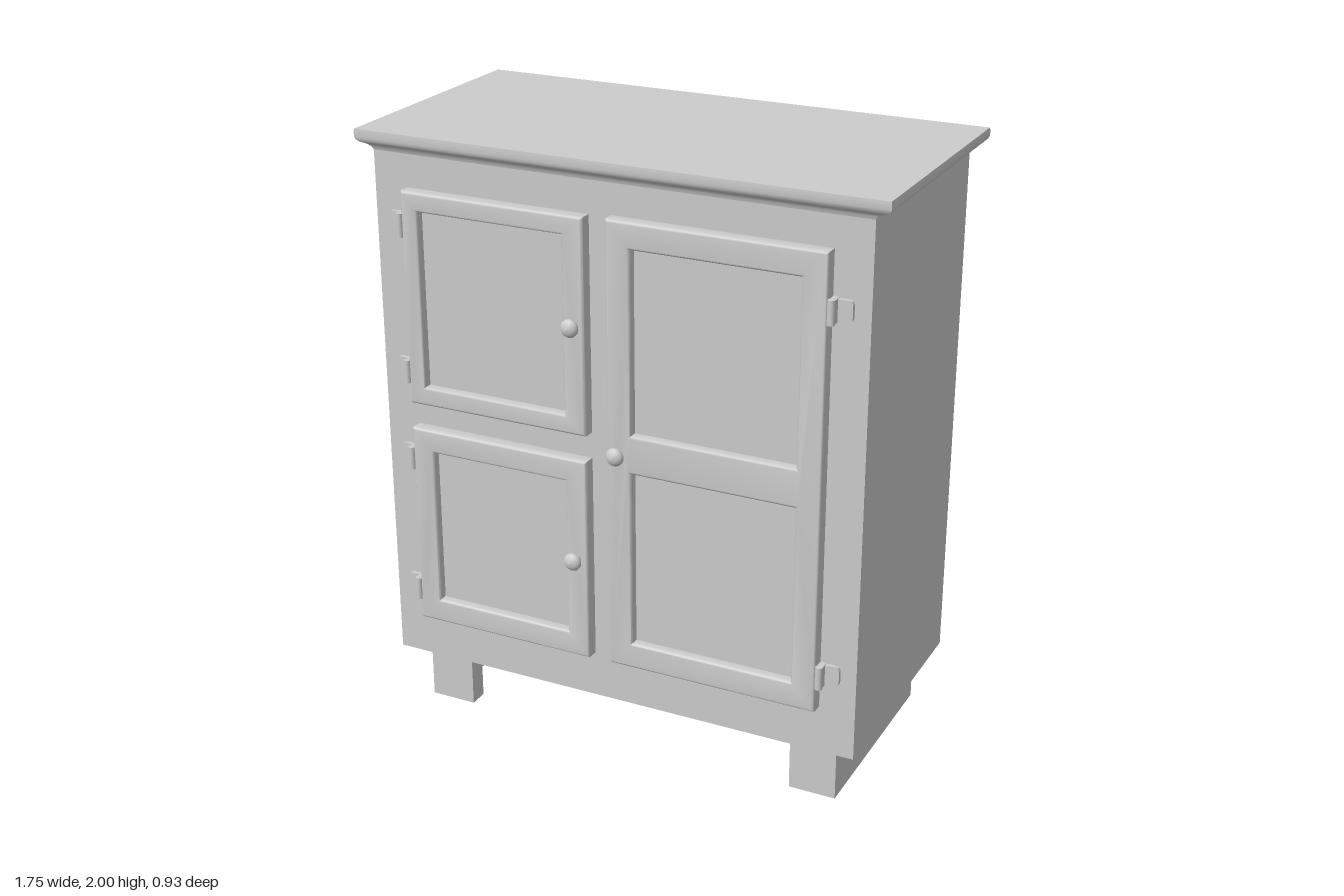
import * as THREE from 'three';
import { toCreasedNormals } from 'three/addons/utils/BufferGeometryUtils.js';

const mat = new THREE.MeshStandardMaterial({ color: 0xcccccc });

function add(parent, name, geo, x = 0, y = 0, z = 0) {
  const m = new THREE.Mesh(geo, mat);
  m.name = name;
  m.position.set(x, y, z);
  parent.add(m);
  return m;
}

// Box given by its limits
function box(parent, name, x0, x1, y0, y1, z0, z1) {
  return add(parent, name, new THREE.BoxGeometry(x1 - x0, y1 - y0, z1 - z0),
    (x0 + x1) / 2, (y0 + y1) / 2, (z0 + z1) / 2);
}

function trace(path, x0, x1, y0, y1) {
  path.moveTo(x0, y0);
  path.lineTo(x1, y0);
  path.lineTo(x1, y1);
  path.lineTo(x0, y1);
  path.closePath();
  return path;
}

// Moulded slab: rectangular rings [t, y], t = 0 at the carcass, 1 at full overhang
function mouldedTop(rings) {
  const pos = [];
  const corners = rings.map(([t, y]) => {
    const x = 0.82 + 0.053 * t, f = 0.375 + 0.025 * t, b = -0.44 - 0.027 * t;
    return [[-x, y, f], [x, y, f], [x, y, b], [-x, y, b]];
  });
  const quad = (a, b, c, d) => pos.push(...a, ...b, ...c, ...a, ...c, ...d);
  for (let i = 0; i < corners.length - 1; i++) {
    for (let k = 0; k < 4; k++) {
      const n = (k + 1) % 4;
      quad(corners[i][k], corners[i][n], corners[i + 1][n], corners[i + 1][k]);
    }
  }
  quad(...corners[corners.length - 1]);
  quad(...[...corners[0]].reverse());
  const g = new THREE.BufferGeometry();
  g.setAttribute('position', new THREE.Float32BufferAttribute(pos, 3));
  return toCreasedNormals(g, 0.7);
}

// Framed door with recessed panels
function door(parent, name, rect, openings) {
  const g = new THREE.Group();
  g.name = name;
  parent.add(g);
  const shape = trace(new THREE.Shape(), ...rect);
  for (const o of openings) {
    shape.holes.push(trace(new THREE.Path(), ...o));
    box(g, 'doorPanel', o[0] - 0.02, o[1] + 0.02, o[2] - 0.02, o[3] + 0.02, 0.365, 0.388);
  }
  const bevel = 0.009;
  const frame = new THREE.ExtrudeGeometry(shape, {
    depth: 0.05 - bevel, bevelEnabled: true, bevelThickness: bevel,
    bevelSize: bevel, bevelOffset: -bevel, bevelSegments: 3,
  });
  add(g, 'doorFrame', toCreasedNormals(frame, 0.6), 0, 0, 0.369);
}

// Hinge: barrel against the door edge plus a rounded leaf on the carcass
function hinge(parent, x, y, side) {
  const g = new THREE.Group();
  g.name = 'hinge';
  g.position.set(x, y, 0);
  if (side < 0) g.rotation.z = Math.PI;
  parent.add(g);
  add(g, 'hingeBarrel', new THREE.CylinderGeometry(0.012, 0.012, 0.076, 16), 0.01, 0, 0.412);
  box(g, 'hingeKnuckle', 0, 0.02, -0.036, 0.036, 0.37, 0.412);
  const leaf = new THREE.Shape();
  leaf.moveTo(0.01, -0.034);
  leaf.lineTo(0.048, -0.034);
  leaf.quadraticCurveTo(0.066, -0.034, 0.066, -0.016);
  leaf.lineTo(0.066, 0.016);
  leaf.quadraticCurveTo(0.066, 0.034, 0.048, 0.034);
  leaf.lineTo(0.01, 0.034);
  add(g, 'hingeLeaf', toCreasedNormals(
    new THREE.ExtrudeGeometry(leaf, { depth: 0.018, bevelEnabled: false }), 0.6), 0, 0, 0.37);
}

export function createModel() {
  const model = new THREE.Group();
  model.name = 'cabinet';

  box(model, 'carcass', -0.82, 0.82, 0.2, 1.95, -0.44, 0.375);
  add(model, 'top', mouldedTop([
    [0, 1.935], [0.12, 1.945], [0.35, 1.953], [0.7, 1.959], [0.92, 1.966],
    [1, 1.975], [1, 1.992], [0.97, 2],
  ]));

  // Doors
  door(model, 'upperSmallDoor', [-0.705, -0.075, 1.13, 1.83], [[-0.648, -0.147, 1.192, 1.768]]);
  door(model, 'lowerSmallDoor', [-0.705, -0.075, 0.357, 1.045], [[-0.63, -0.15, 0.438, 0.968]]);
  door(model, 'tallDoor', [0, 0.702, 0.36, 1.837],
    [[0.08, 0.622, 1.162, 1.752], [0.08, 0.622, 0.447, 1.035]]);

  // Knobs
  const profile = [[0.013, 0], [0.011, 0.008], [0.012, 0.016], [0.022, 0.02], [0.029, 0.028],
    [0.029, 0.035], [0.024, 0.043], [0.013, 0.049], [0, 0.051]]
    .map(([r, h]) => new THREE.Vector2(r, h));
  const knobGeo = new THREE.LatheGeometry(profile, 24);
  knobGeo.rotateX(Math.PI / 2);
  for (const [x, y] of [[-0.108, 1.49], [-0.113, 0.708], [0.04, 1.098]]) {
    add(model, 'knob', knobGeo, x, y, 0.416);
  }

  // Hinges
  for (const y of [1.718, 1.235, 0.935, 0.462]) hinge(model, -0.705, y, -1);
  for (const y of [1.66, 0.482]) hinge(model, 0.702, y, 1);

  // Sled feet: a side board with a return at each end
  for (const s of [-1, 1]) {
    const foot = new THREE.Group();
    foot.name = s < 0 ? 'rightFoot' : 'leftFoot';
    model.add(foot);
    const span = (a, b) => (s < 0 ? [-b, -a] : [a, b]);
    box(foot, 'footBoard', ...span(0.685, 0.742), 0, 0.2, -0.392, 0.315);
    box(foot, 'frontReturn', ...span(0.585, 0.685), 0, 0.2, 0.25, 0.315);
    box(foot, 'backReturn', ...span(0.585, 0.685), 0, 0.2, -0.392, -0.327);
  }
  return model;
}
